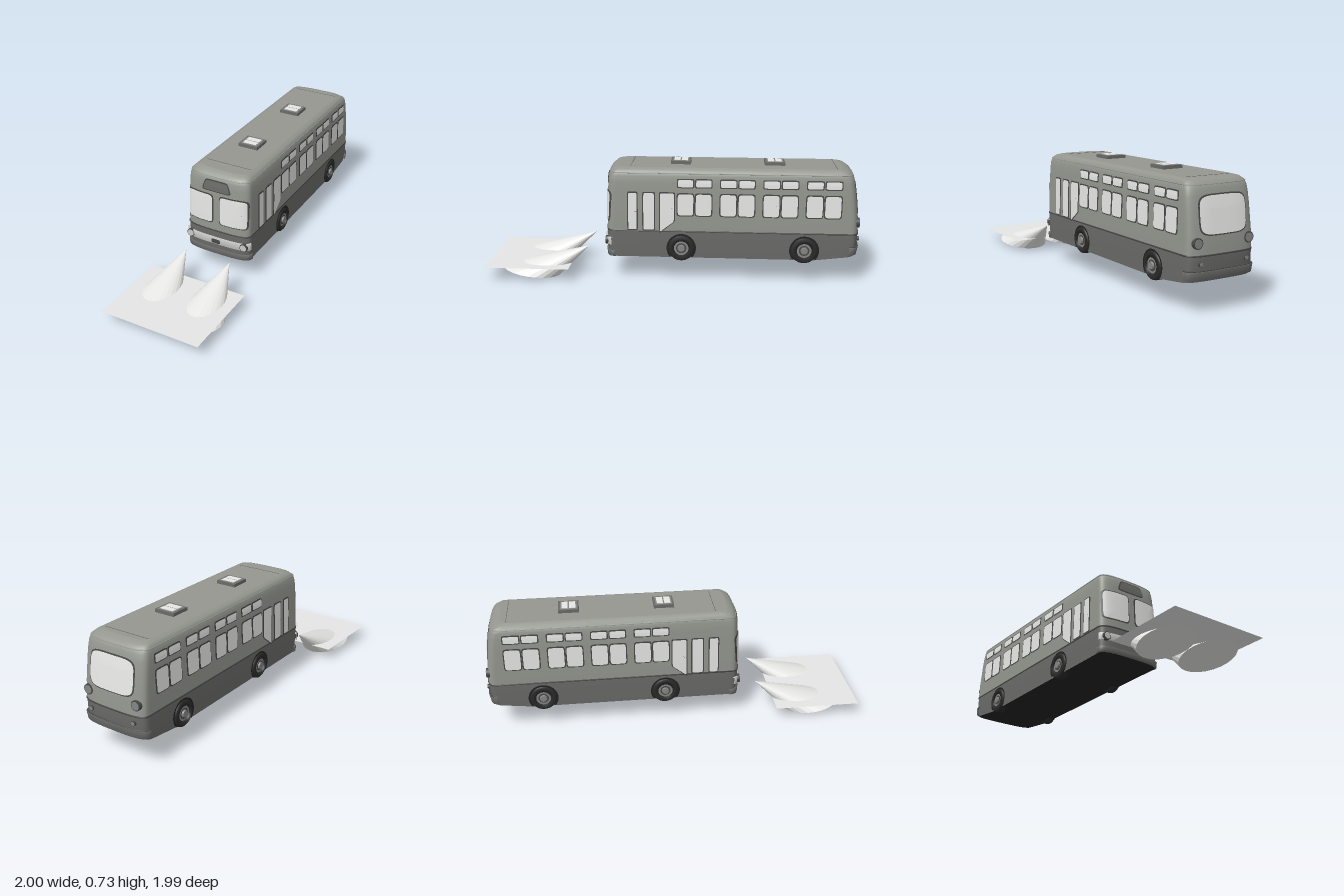
import * as THREE from 'three';

const mat = (name, color, side = THREE.FrontSide) => {
  const m = new THREE.MeshStandardMaterial({ color, side });
  m.name = name;
  return m;
};

// Body profile: [y, half width, nose z, tail z]
const PROFILE = [
  [0.15, 0.212, 0.33, -1.2], [0.24, 0.216, 0.337, -1.216], [0.32, 0.216, 0.338, -1.218],
  [0.42, 0.215, 0.336, -1.213], [0.56, 0.211, 0.332, -1.196], [0.62, 0.209, 0.329, -1.186],
  [0.66, 0.205, 0.324, -1.178], [0.685, 0.198, 0.314, -1.164], [0.7, 0.184, 0.297, -1.143],
  [0.708, 0.16, 0.27, -1.11]];
const CORNER = 0.065, POWER = 3.3;

function section(y) {
  let i = 0;
  while (i < PROFILE.length - 2 && y > PROFILE[i + 1][0]) i++;
  const a = PROFILE[i], b = PROFILE[i + 1];
  const t = THREE.MathUtils.clamp((y - a[0]) / (b[0] - a[0]), 0, 1);
  const [, hw, nose, tail] = a.map((v, k) => v + (b[k] - v) * t);
  return { hw, nose, tail };
}

// How far the rounded end has fallen back at x
const endDrop = (x, hw) => CORNER * (1 - Math.pow(Math.max(0, 1 - Math.pow(Math.abs(x / hw), POWER)), 1 / POWER));

// Right half of the plan outline, nose centre to tail centre
function halfRing(y, grow = 0) {
  const s = section(y), hw = s.hw + grow, K = 12, nose = [], tail = [];
  for (let i = 0; i <= K; i++) {
    const t = (i / K) * Math.PI / 2;
    const x = hw * Math.pow(Math.sin(t), 2 / POWER);
    const drop = CORNER * (1 - Math.pow(Math.max(0, Math.cos(t)), 2 / POWER));
    nose.push([x, s.nose + grow - drop]);
    tail.unshift([x, s.tail - grow + drop]);
  }
  return [...nose, [hw, -0.2], [hw, -0.6], [hw, -0.95], ...tail];
}
const lift = (y, z) => (y <= 0.15 ? y + Math.max(0, -0.95 - z) * 0.12 : y);

function build(pos, idx) {
  const g = new THREE.BufferGeometry();
  g.setAttribute('position', new THREE.Float32BufferAttribute(pos, 3));
  g.setIndex(idx);
  g.computeVertexNormals();
  return g;
}

// Skin through plan outlines; levels are [y, grow], keep chooses which z to cover
function loft(levels, keep = () => true) {
  const pos = [], idx = [];
  let n = 0;
  for (const [y, grow] of levels) {
    const half = halfRing(y, grow);
    const ring = half.concat(half.slice(1, -1).reverse().map(([x, z]) => [-x, z]));
    n = ring.length;
    ring.forEach(([x, z]) => pos.push(x, lift(y, z), z));
  }
  for (let l = 0; l < levels.length - 1; l++) for (let i = 0; i < n; i++) {
    const j = (i + 1) % n, a = l * n + i, b = l * n + j;
    if (keep((pos[a * 3 + 2] + pos[b * 3 + 2]) / 2)) idx.push(a, b, b + n, a, b + n, a + n);
  }
  return build(pos, idx);
}

// Flat lid closing the outline at height y
function lid(y, up) {
  const pos = [], idx = [];
  halfRing(y).forEach(([x, z], i) => {
    pos.push(-x, lift(y, z), z, x, lift(y, z), z);
    const a = i * 2 - 2;
    if (i) idx.push(...(up ? [a, a + 1, a + 3, a, a + 3, a + 2] : [a, a + 3, a + 1, a, a + 2, a + 3]));
  });
  return build(pos, idx);
}

// Rounded patch wrapped on the body by a placing rule
function patch(w, h, place, round = 0.35, rings = 2) {
  const g = new THREE.RingGeometry(0, 1, 32, rings), p = g.attributes.position;
  const sq = (c) => Math.sign(c) * Math.pow(Math.abs(c), round);
  for (let i = 0; i < p.count; i++) {
    const r = Math.hypot(p.getX(i), p.getY(i)) || 1e-6;
    p.setXYZ(i, ...place(sq(p.getX(i) / r) * r * w / 2, sq(p.getY(i) / r) * r * h / 2));
  }
  g.computeVertexNormals();
  return g;
}
// slant lowers the bottom edge towards the nose
const onSide = (s, cz, cy, off, slant = 0) => (a, b) => {
  const dz = -s * a, y = cy + b - Math.max(0, 0.5 - b / 0.2) * dz * slant;
  return [s * (section(y).hw + off), y, cz + dz];
};
const onFront = (cx, cy, off, taper = 0) => (a, b) => {
  const y = cy + b, s = section(y), x = cx + a * (1 - taper * b);
  return [x, y, s.nose - endDrop(x, s.hw) + off];
};
const onRear = (cx, cy, off) => (a, b) => {
  const y = cy + b, s = section(y), x = cx - a;
  return [x, y, s.tail + endDrop(x, s.hw) - off];
};

export function createModel() {
  const upper = mat('upperPaint', 0x94968f, THREE.DoubleSide), lower = mat('lowerPaint', 0x6b6b6a, THREE.DoubleSide);
  const glass = mat('glass', 0xeeeeec), trim = mat('darkTrim', 0x484948, THREE.DoubleSide);
  const rubber = mat('rubber', 0x2b2b2b, THREE.DoubleSide), under = mat('underside', 0x222222);
  const metal = mat('metal', 0xcacac8, THREE.DoubleSide), hubGrey = mat('hubGrey', 0x868785);
  const beam = mat('beam', 0xeeeeec), ground = mat('lightPatch', 0xe6e6e6, THREE.DoubleSide);

  const bus = new THREE.Group();
  bus.name = 'bus';
  const add = (name, geo, m, x = 0, y = 0, z = 0) => {
    const mesh = new THREE.Mesh(geo, m);
    mesh.name = name;
    mesh.position.set(x, y, z);
    bus.add(mesh);
    return mesh;
  };
  const pane = (name, w, h, place, m = glass, round, rings) => {
    add(name + 'Frame', patch(w + 0.014, h + 0.014, place(0.003), round, rings), trim);
    add(name, patch(w, h, place(0.006), round, rings), m);
  };

  // Shell
  add('lowerBody', loft([[0.15, 0], [0.24, 0], [0.32, 0]]), lower);
  add('upperBody', loft(PROFILE.slice(2).map((p) => [p[0], 0])), upper);
  add('roof', lid(0.708, true), upper);
  add('floor', lid(0.15, false), under);
  const band = (name, y0, y1, out, m, keep) =>
    add(name, loft([[y0, 0], [y0 + 0.001, out], [y1 - 0.001, out], [y1, 0]], keep), m);
  band('beltTrim', 0.314, 0.323, 0.003, trim);
  band('dripRail', 0.676, 0.682, 0.003, upper);
  band('frontBumper', 0.151, 0.186, 0.009, lower, (z) => z > 0.24);
  band('rearBumper', 0.188, 0.235, 0.009, lower, (z) => z < -1.08);
  band('rearTrim', 0.236, 0.242, 0.006, trim, (z) => z < -1.08);
  band('grille', 0.226, 0.272, 0.01, metal, (z) => z > 0.3);

  // Sides
  for (const s of [1, -1]) {
    for (let g = 0; g < 4; g++) for (let k = 0; k < 2; k++) {
      const z = -0.157 - g * 0.26 - k * 0.11;
      pane('sideWindow', 0.095, 0.132, (o) => onSide(s, z, 0.488, o), glass, 0.25);
      pane('ventWindow', 0.092, 0.044, (o) => onSide(s, z, 0.62, o), glass, 0.25);
    }
    for (const [z, w] of [[0.168, 0.052], [0.068, 0.066]])
      pane('doorPane', w, 0.23, (o) => onSide(s, z, 0.443, o), glass, 0.15);
    pane('slantedPane', 0.085, 0.21, (o) => onSide(s, -0.044, 0.453, o, 0.75), glass, 0.12, 4);

    // Wheels and arches
    for (const z of [-0.133, -0.885]) {
      const arch = add('wheelArch', new THREE.CircleGeometry(0.091, 28, -0.7, Math.PI + 1.4), under, s * 0.219, 0.212, z);
      arch.rotation.y = s * Math.PI / 2;
      const wheel = new THREE.Group();
      wheel.name = 'wheel';
      const profile = [[0.045, 0], [0.045, 0.058], [0.07, 0.06], [0.08, 0.052], [0.083, 0.04], [0.083, 0.01], [0.07, 0]];
      const parts = [
        ['tyre', new THREE.LatheGeometry(profile.map((p) => new THREE.Vector2(...p)), 32), rubber, 0],
        ['rim', new THREE.CylinderGeometry(0.047, 0.047, 0.05, 24), hubGrey, 0.029],
        ['hubRing', new THREE.CylinderGeometry(0.032, 0.032, 0.004, 24), trim, 0.054],
        ['hub', new THREE.CylinderGeometry(0.02, 0.025, 0.014, 16), hubGrey, 0.058]];
      for (const [name, geo, m, h] of parts) {
        const mesh = new THREE.Mesh(geo, m);
        mesh.name = name;
        mesh.position.y = h;
        wheel.add(mesh);
      }
      wheel.rotation.z = -s * Math.PI / 2;
      wheel.position.set(s * 0.167, 0.212, z);
      bus.add(wheel);
    }

    // Windscreen, front and rear lamps
    pane('windscreen', 0.176, 0.185, (o) => onFront(s * 0.114, 0.468, o), glass, 0.22, 8);
    const lamp = (name, r, x, y, z, m) => {
      add(name + 'Ring', new THREE.CylinderGeometry(r, r, 0.03, 24).rotateX(Math.PI / 2), trim, x, y, z);
      add(name, new THREE.CylinderGeometry(r * 0.8, r * 0.8, 0.034, 24).rotateX(Math.PI / 2), m, x, y, z);
    };
    lamp('headlight', 0.026, s * 0.186, 0.249, 0.324, metal);
    lamp('tailLight', 0.03, s * 0.168, 0.385, -1.199, hubGrey);
    lamp('rearMarker', 0.014, s * 0.15, 0.278, -1.205, hubGrey);
  }
  pane('destinationPanel', 0.165, 0.062, (o) => onFront(0, 0.624, o, 4), lower, 0.3, 6);
  add('grilleCentre', patch(0.06, 0.03, onFront(0, 0.249, 0.014)), trim);
  pane('rearWindow', 0.3, 0.2, (o) => onRear(0, 0.525, o), glass, 0.4, 8);

  // Roof hatches and seams
  for (const z of [-0.12, -0.7]) {
    add('hatch', new THREE.BoxGeometry(0.132, 0.022, 0.124), lower, 0, 0.716, z);
    add('hatchTop', new THREE.BoxGeometry(0.11, 0.004, 0.102), hubGrey, 0, 0.727, z);
    for (const d of [-0.023, 0.023])
      add('hatchPane', new THREE.BoxGeometry(0.09, 0.003, 0.038), glass, 0, 0.73, z + d);
  }
  for (const z of [0.185, -1.07]) add('roofSeam', new THREE.BoxGeometry(0.3, 0.002, 0.003), lower, 0, 0.7085, z);

  // Headlight beams, skewed cones reaching the ground, and the light patch
  for (const s of [1, -1]) {
    const cone = new THREE.ConeGeometry(1, 1, 24).toNonIndexed(), p = cone.attributes.position;
    for (let i = 0; i < p.count; i++) {
      const x = p.getX(i), t = 0.5 - p.getY(i), z = p.getZ(i);
      p.setXYZ(i, s * 0.153 + x * 0.152, 0.197 - 0.167 * t + z * 0.026, 0.447 + 0.371 * t + z * 0.182);
    }
    cone.computeVertexNormals();
    add('lightBeam', cone, beam);
  }
  add('lightPatch', new THREE.PlaneGeometry(0.643, 0.527).rotateX(-Math.PI / 2), ground, -0.003, 0.088, 0.824);

  bus.rotation.y = -Math.PI / 4;
  const model = new THREE.Group();
  model.name = 'model';
  model.add(bus);
  return model;
}
